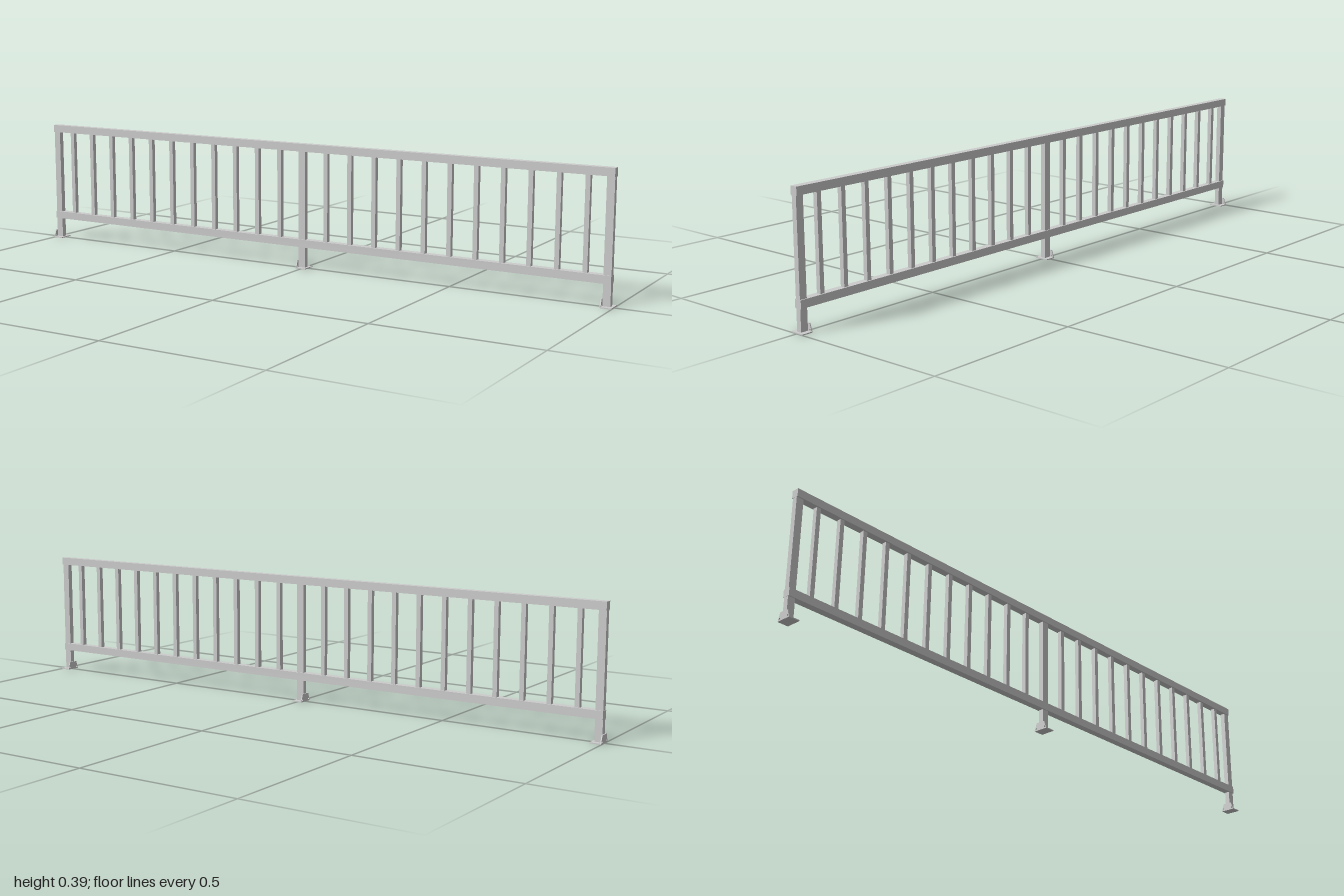
import * as THREE from 'three';

const material = new THREE.MeshStandardMaterial({ color: 0xcccccc, flatShading: true });

export function createModel() {
  const group = new THREE.Group();
  group.name = 'railing';

  const add = (name, geometry, x, y, z = 0) => {
    const mesh = new THREE.Mesh(geometry, material);
    mesh.name = name;
    mesh.position.set(x, y, z);
    group.add(mesh);
    return mesh;
  };

  const plateWidth = 0.034, sheet = 0.003, postWidth = 0.023;
  const railHeight = 0.024, lowerY = 0.079, upperY = 0.379;
  const feet = [-0.983, 0, 0.983];
  const postOffset = -plateWidth / 2 + sheet + postWidth / 2;

  // Upright bracket plate: tapered, with two bolt holes
  const profile = new THREE.Shape([
    [-0.023, 0], [0.023, 0], [0.015, 0.025], [-0.015, 0.025],
  ].map(([x, y]) => new THREE.Vector2(x, y)));
  for (const side of [-1, 1]) {
    profile.holes.push(new THREE.Path().absarc(side * 0.0165, 0.0065, 0.0025, 0, Math.PI * 2, true));
  }
  const bracketGeometry = new THREE.ExtrudeGeometry(profile, { depth: sheet, bevelEnabled: false, curveSegments: 8 });
  bracketGeometry.rotateY(Math.PI / 2);

  // Posts standing on angle brackets
  const postGeometry = new THREE.BoxGeometry(postWidth, upperY - sheet, 0.016);
  const plateGeometry = new THREE.BoxGeometry(plateWidth, sheet, 0.046);
  for (const x of feet) {
    add('post', postGeometry, x + postOffset, (upperY + sheet) / 2);
    add('basePlate', plateGeometry, x, sheet / 2);
    add('bracketPlate', bracketGeometry, x - plateWidth / 2, 0);
  }

  // Rails, flush with the outer faces of the end posts
  const railGeometry = new THREE.BoxGeometry(feet[2] - feet[0] + postWidth + 0.001, railHeight, 0.023);
  add('lowerRail', railGeometry, postOffset, lowerY);
  add('upperRail', railGeometry, postOffset, upperY);

  // Balusters on both sides of the middle post
  const balusterGeometry = new THREE.BoxGeometry(0.014, upperY - lowerY, 0.014);
  for (let i = -11; i <= 11; i++) {
    if (i !== 0) add('baluster', balusterGeometry, postOffset + i * 0.0834, (upperY + lowerY) / 2);
  }
  return group;
}
